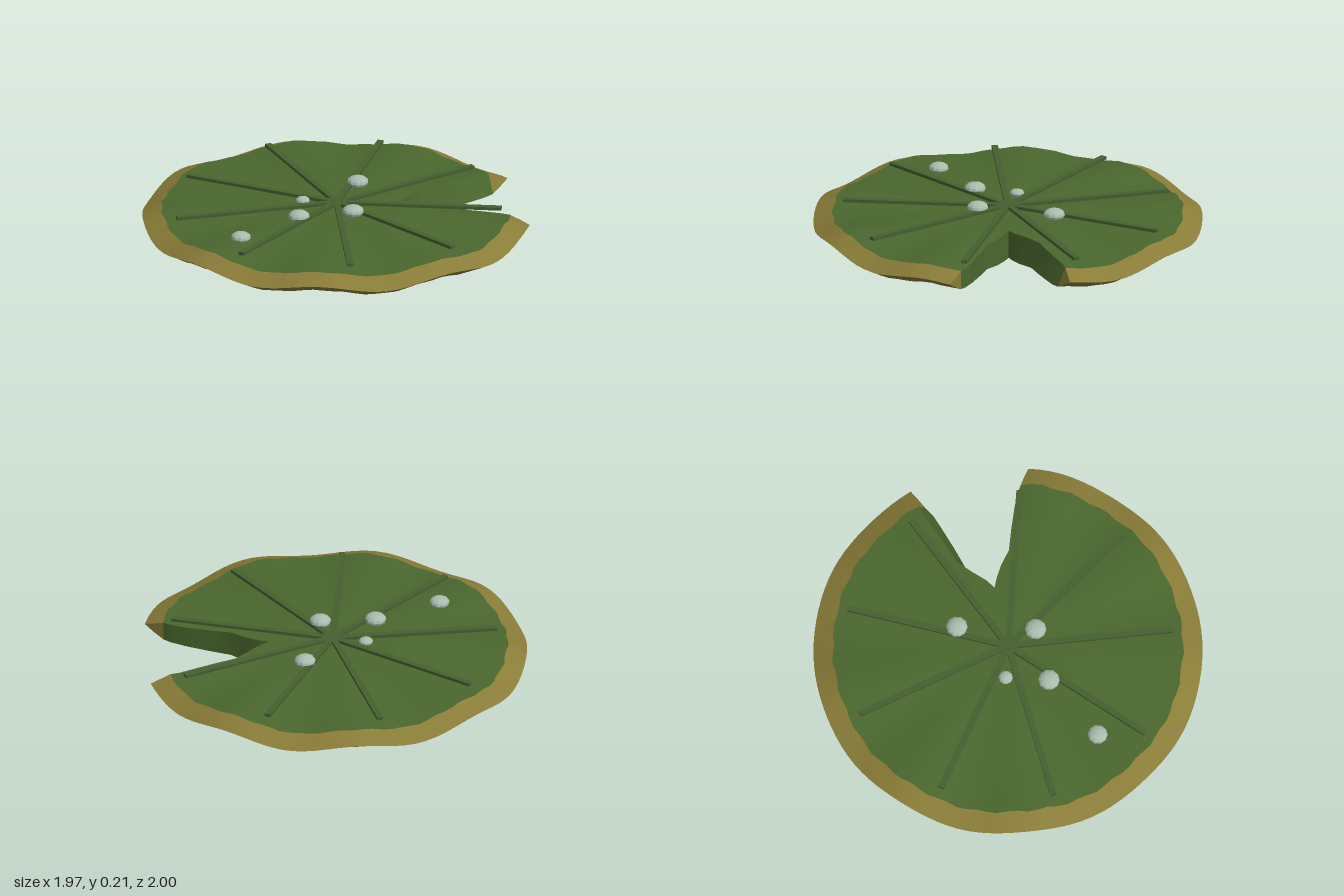
import * as THREE from 'three';

const mat = (name, color) => Object.assign(new THREE.MeshStandardMaterial({ color }), { name });
const RAD = Math.PI / 180, CX = 0.02, BAND = 0.9;

// Piecewise linear lookup through [x, y] points
function lerpTable(points, x) {
  for (let i = 1; i < points.length; i++) {
    const [x0, y0] = points[i - 1], [x1, y1] = points[i];
    if (x <= x1) return y0 + (y1 - y0) * Math.max(0, (x - x0) / (x1 - x0));
  }
  return points[points.length - 1][1];
}

// Notch edges in degrees by radius, and the leaf's upper and lower profiles
const frontEdge = [[0.33, 4], [0.53, 16.5], [0.83, 19], [1, 22]];
const backEdge = [[0.33, 364], [0.53, 351.5], [0.85, 349], [1, 346]];
const backSlope = [[0.33, 0], [0.45, 5], [0.85, 4], [1, 0]];
const topProfile = [[0, 0.152], [0.4, 0.15], [0.9, 0.13], [1, 0.085]];
const bottomProfile = [[0, 0], [0.35, 0.002], [0.9, 0.03], [1, 0.085]];

// A point on the leaf: r is the radius, u runs round from notch edge to notch edge
function leafPoint(r, u, top) {
  const start = lerpTable(frontEdge, r);
  const end = lerpTable(backEdge, r) - (top ? lerpTable(backSlope, r) : 0);
  const a = (start + (end - start) * u) * RAD;
  const y = lerpTable(top ? topProfile : bottomProfile, r) - 0.018 * r * r * Math.sin(9 * a);
  const rr = r === BAND ? r + 0.006 * Math.sin(31 * a) : r;
  return [CX + rr * Math.cos(a), y, rr * Math.sin(a)];
}

// Surface from a grid of points
function grid(rows, cols, point, flip) {
  const pos = [], index = [];
  for (let i = 0; i <= rows; i++)
    for (let j = 0; j <= cols; j++) pos.push(...point(i, j));
  for (let i = 0; i < rows; i++)
    for (let j = 0; j < cols; j++) {
      const a = i * (cols + 1) + j, b = a + 1, c = a + cols + 1, d = c + 1;
      if (flip) index.push(a, c, b, b, c, d);
      else index.push(a, b, c, b, d, c);
    }
  const g = new THREE.BufferGeometry();
  g.setAttribute('position', new THREE.Float32BufferAttribute(pos, 3));
  g.setIndex(index);
  g.computeVertexNormals();
  return g;
}

export function createModel() {
  const model = new THREE.Group();
  model.name = 'lilyPad';
  const green = mat('leafGreen', 0x4a672e);
  const olive = mat('rimOlive', 0x8a7c38);
  const veinGreen = mat('veinGreen', 0x456030);
  const water = mat('dropletGrey', 0xa8bdae);
  water.flatShading = true;

  const add = (name, geometry, material, parent = model) => {
    const mesh = new THREE.Mesh(geometry, material);
    mesh.name = name;
    parent.add(mesh);
    return mesh;
  };

  // Leaf faces and rim bands, above and below
  const inner = [0, 0.17, 0.33, 0.38, 0.45, 0.53, 0.65, 0.77, 0.85, BAND];
  const outer = [BAND, 0.95, 1];
  const COLS = 96;
  for (const top of [true, false]) {
    const side = top ? 'Top' : 'Underside';
    const face = radii => grid(radii.length - 1, COLS, (i, j) => leafPoint(radii[i], j / COLS, top), !top);
    add('leaf' + side, face(inner), green);
    add('rim' + side, face(outer), olive);
  }

  // Walls of the notch
  for (const u of [0, 1]) {
    const side = u ? 'Back' : 'Front';
    const wall = radii => grid(radii.length - 1, 1, (i, j) => leafPoint(radii[i], u, j === 0), u === 0);
    add('notchWall' + side, wall(inner.slice(2)), green);
    add('notchRim' + side, wall(outer), olive);
  }

  // Nine straight veins and their hub
  const veins = new THREE.Group();
  veins.name = 'veins';
  model.add(veins);
  for (let i = 0; i < 9; i++) {
    const g = new THREE.BoxGeometry(0.85, 0.016, 0.032);
    g.translate(0.425, 0, 0);
    const vein = add('vein', g, veinGreen, veins);
    vein.position.set(CX, 0.164, 0);
    vein.rotation.y = (20 + 40 * i) * RAD;
  }
  add('veinHub', new THREE.CylinderGeometry(0.026, 0.026, 0.018, 16), veinGreen, veins).position.set(CX, 0.164, 0);

  // Flattened water droplets: x, y, z, radius
  const drops = [
    [-0.57, 0.155, 0.31, 0.052], [-0.22, 0.172, 0.15, 0.056], [-0.145, 0.168, -0.06, 0.037],
    [0.065, 0.175, 0.16, 0.056], [0.19, 0.172, -0.225, 0.056],
  ];
  for (const [x, y, z, r] of drops) {
    const drop = add('droplet', new THREE.SphereGeometry(r, 10, 8), water);
    drop.scale.y = 0.55;
    drop.position.set(x, y, z);
  }
  return model;
}
